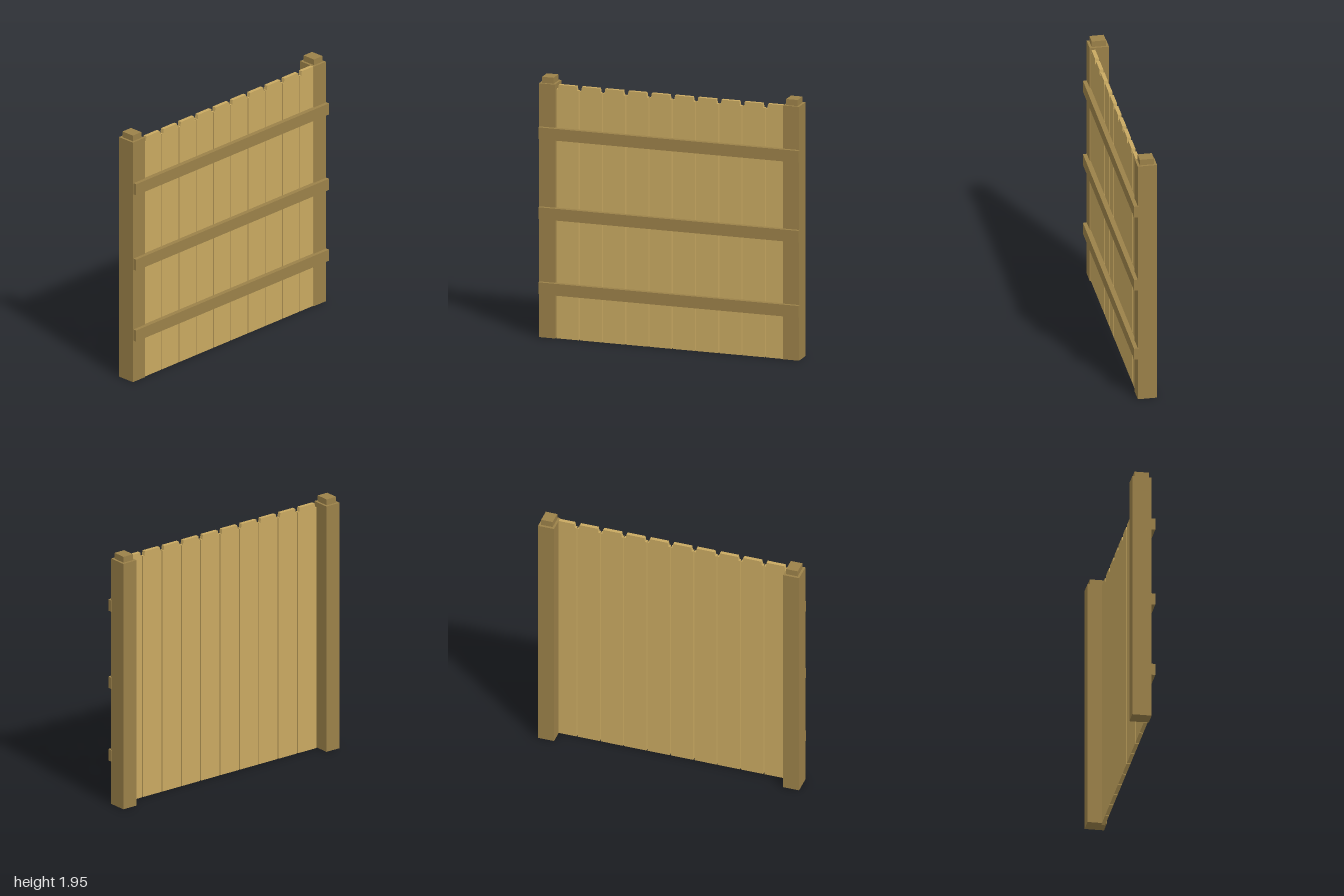
import * as THREE from 'three';

export function createModel() {
  const plankWood = new THREE.MeshStandardMaterial({ color: 0xc9a961 });
  plankWood.name = 'light plank wood';
  const frameWood = new THREE.MeshStandardMaterial({ color: 0x9b8149 });
  frameWood.name = 'dark frame wood';

  const fence = new THREE.Group();
  fence.name = 'fencePanel';

  // Box given by its minimum and maximum corners
  function addBox(name, [x0, y0, z0], [x1, y1, z1]) {
    const box = new THREE.Mesh(new THREE.BoxGeometry(x1 - x0, y1 - y0, z1 - z0), frameWood);
    box.position.set((x0 + x1) / 2, (y0 + y1) / 2, (z0 + z1) / 2);
    box.name = name;
    fence.add(box);
  }

  // End posts with small raised caps
  for (const [name, z] of [['front', 0.937], ['back', -0.935]]) {
    addBox(name + 'Post', [-0.086, 0, z - 0.061], [0.056, 1.9, z + 0.061]);
    addBox(name + 'PostCap', [-0.067, 1.9, z - 0.044], [0.038, 1.945, z + 0.044]);
  }

  // Horizontal rails
  for (const y of [0.373, 0.935, 1.533]) {
    addBox('rail', [0.048, y - 0.044, -1], [0.084, y + 0.044, 0.993]);
  }

  // Planks with notched top corners
  const w = 0.085;
  const outline = new THREE.Shape();
  outline.moveTo(-w, 0);
  outline.lineTo(w, 0);
  outline.lineTo(w, 1.865);
  outline.lineTo(w - 0.011, 1.865);
  outline.lineTo(w - 0.017, 1.899);
  outline.lineTo(-w + 0.017, 1.899);
  outline.lineTo(-w + 0.011, 1.865);
  outline.lineTo(-w, 1.865);
  const plankGeometry = new THREE.ExtrudeGeometry(outline, { depth: 0.028, bevelEnabled: false });
  plankGeometry.rotateY(Math.PI / 2);
  for (let i = 0; i < 10; i++) {
    const plank = new THREE.Mesh(plankGeometry, plankWood);
    plank.name = 'plank';
    plank.position.set(0.02, 0, 0.782 - i * 0.1784);
    fence.add(plank);
  }

  return fence;
}
